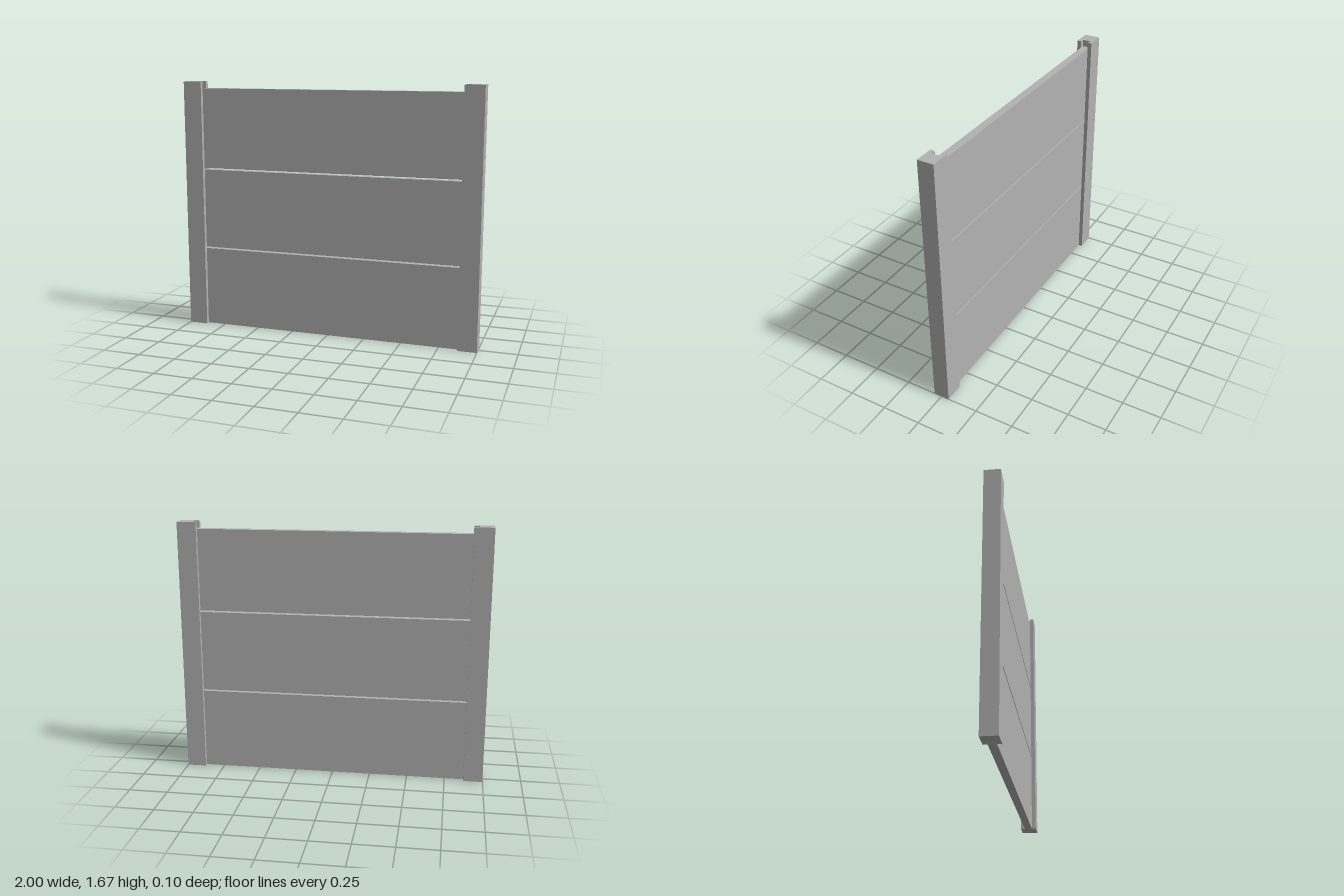
import * as THREE from 'three';

const POST_HEIGHT = 1.668, PANEL_HEIGHT = 0.534, GAP = 0.0107;
const SLOT_X = 0.907, SLOT_Z = 0.026;

export function createModel() {
  const group = new THREE.Group();
  const concrete = new THREE.MeshStandardMaterial({ color: 0xb2b2b2 });
  concrete.name = 'concrete grey';

  // Slotted posts: a C-shaped section extruded upwards, slot facing inwards
  for (const side of [1, -1]) {
    const section = new THREE.Shape([
      [1, -0.052], [1, 0.052], [0.875, 0.052], [0.875, SLOT_Z],
      [SLOT_X, SLOT_Z], [SLOT_X, -SLOT_Z], [0.875, -SLOT_Z], [0.875, -0.052],
    ].map(([x, z]) => new THREE.Vector2(side * x, z)));
    const geometry = new THREE.ExtrudeGeometry(section, { depth: POST_HEIGHT, bevelEnabled: false });
    geometry.rotateX(-Math.PI / 2);
    const post = new THREE.Mesh(geometry, concrete);
    post.name = side > 0 ? 'leftPost' : 'rightPost';
    group.add(post);
  }

  // Three stacked panels with narrow gaps, held in the post slots
  const panelGeometry = new THREE.BoxGeometry(1.812, PANEL_HEIGHT, 0.05);
  ['lowerPanel', 'middlePanel', 'upperPanel'].forEach((name, i) => {
    const panel = new THREE.Mesh(panelGeometry, concrete);
    panel.name = name;
    panel.position.y = PANEL_HEIGHT / 2 + i * (PANEL_HEIGHT + GAP);
    group.add(panel);
  });

  return group;
}
